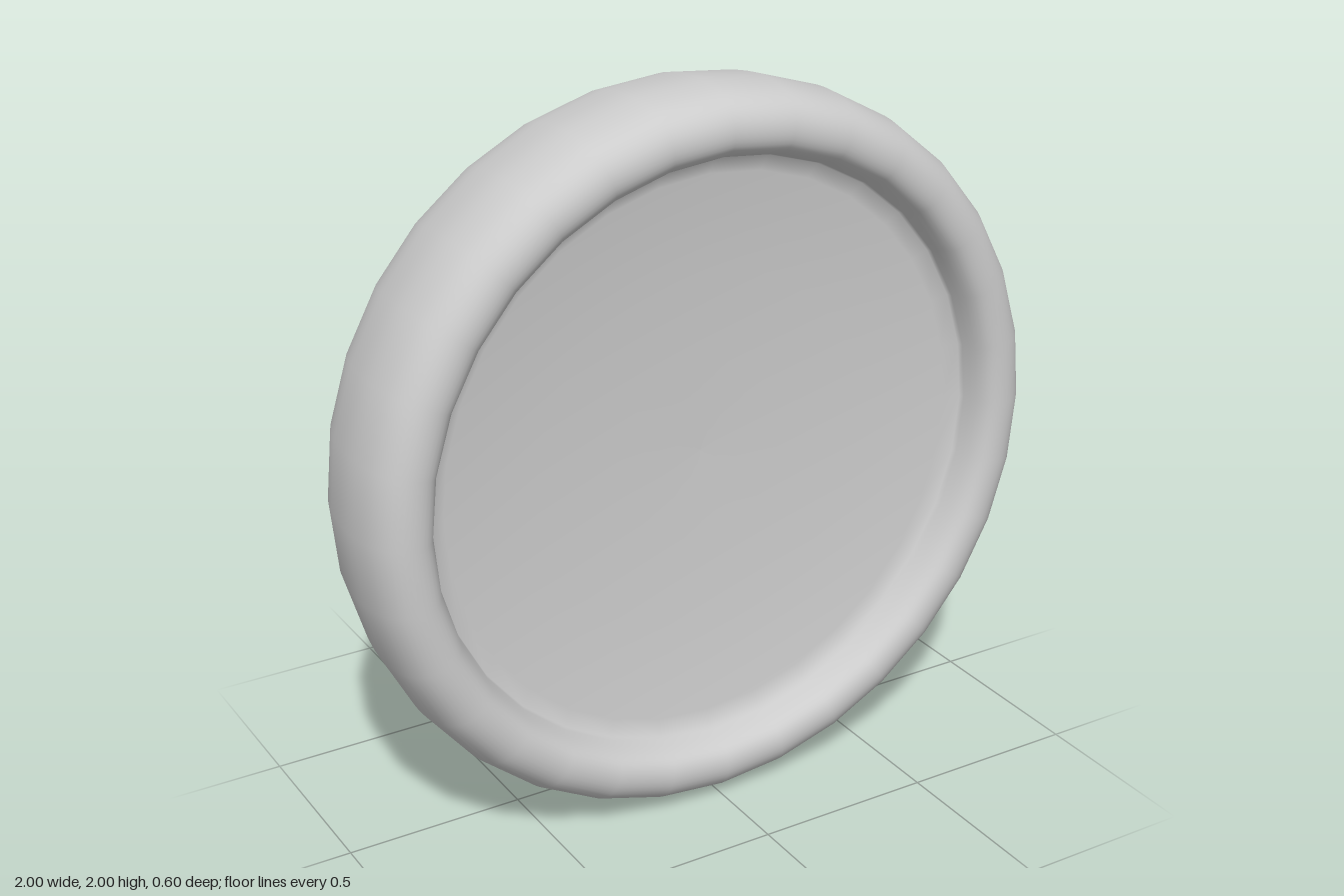
import * as THREE from 'three';

const SIDES = 32;
const BACK_RADIUS = 0.66;

export function createModel() {
  const model = new THREE.Group();
  model.name = 'roundDish';
  const material = new THREE.MeshStandardMaterial({ color: 0xcccccc });

  const add = (name, geometry) => {
    const mesh = new THREE.Mesh(geometry, material);
    mesh.name = name;
    mesh.position.y = 1;
    model.add(mesh);
  };

  // Rounded side, lip and shallow dish: one profile of (radius, z) turned about the z axis
  const side = [
    [BACK_RADIUS, -0.3], [0.79, -0.27], [0.9, -0.19], [0.965, -0.08], [0.99, 0.02],
    [1, 0.12], [0.99, 0.21], [0.965, 0.265], [0.93, 0.293], [0.89, 0.3],
    [0.855, 0.288], [0.832, 0.255], [0.815, 0.2],
  ].map(([r, z]) => new THREE.Vector2(r, z));
  const dish = [[0.77, 0.183], [0.5, 0.16], [0.25, 0.147], [0, 0.143]]
    .map(([r, z]) => new THREE.Vector2(r, z));
  const profile = [...new THREE.SplineCurve(side).getPoints(36), ...dish];
  add('bodyWithRimAndDish', new THREE.LatheGeometry(profile, SIDES).rotateX(Math.PI / 2));

  // Flat back, separate so its edge stays crisp
  const back = new THREE.CircleGeometry(BACK_RADIUS, SIDES).rotateY(Math.PI);
  add('flatBack', back.translate(0, 0, -0.3));

  return model;
}
